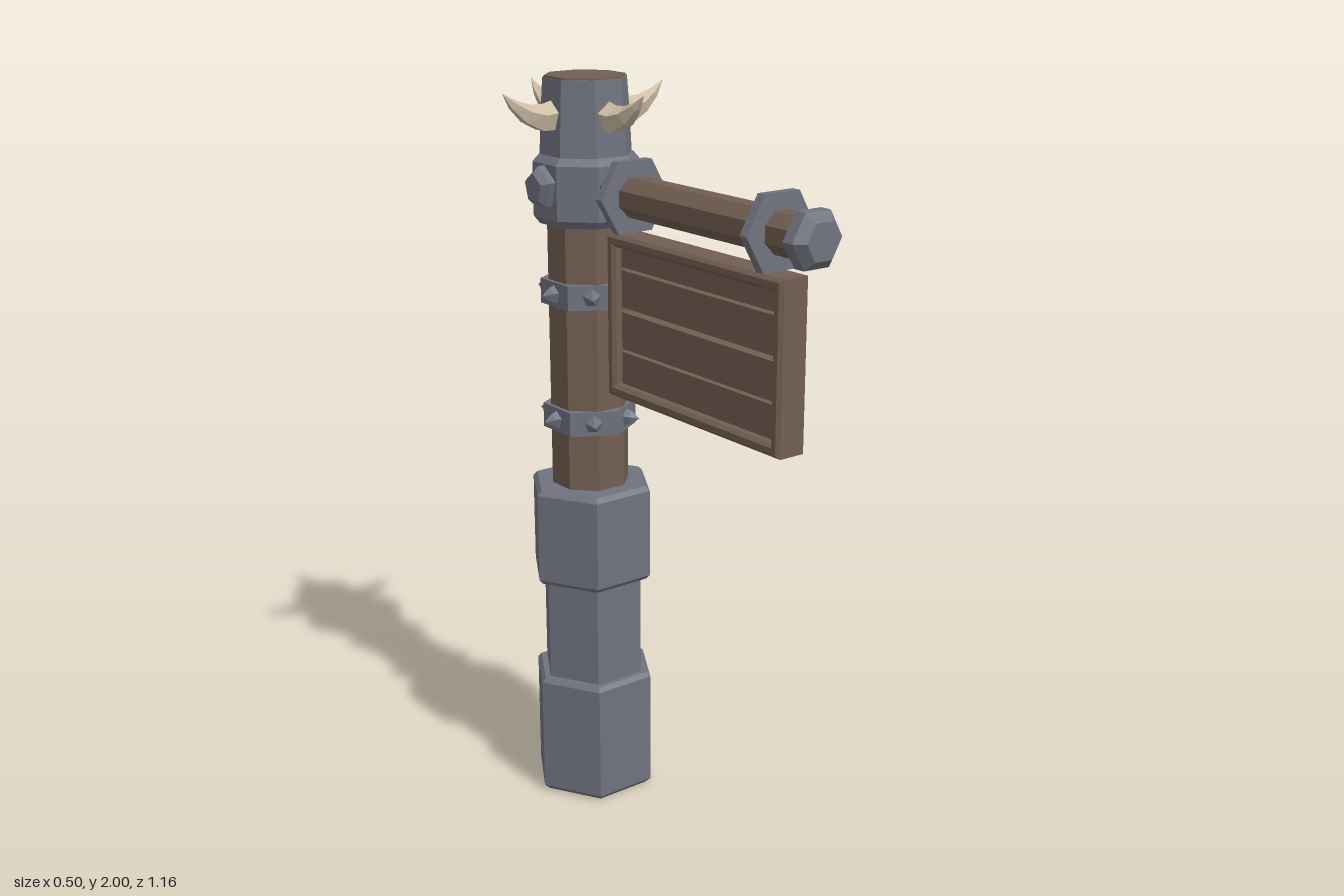
import * as THREE from 'three';

const POST_Z = -0.33;
const OCT = 1 / Math.cos(Math.PI / 8); // flat-to-flat radius -> corner radius

// Faceted solid of revolution from [radius, height] pairs, with hard edges
function prism(profile, sides, phi = 0) {
  const pts = profile.map(([r, y]) => new THREE.Vector2(r, y));
  return faceted(new THREE.LatheGeometry(pts, sides, phi));
}

function faceted(geometry) {
  const g = geometry.toNonIndexed();
  g.computeVertexNormals();
  return g;
}

// Curved five-sided horn pointing along +x, bent from a straight cone
function hornGeometry() {
  const curve = new THREE.CatmullRomCurve3([
    [0.08, 1.905, 0], [0.14, 1.9, 0], [0.2, 1.925, 0], [0.25, 1.97, 0],
  ].map((p) => new THREE.Vector3(...p)));
  const profile = [[0, 0], [0.042, 0], [0.036, 0.3], [0.026, 0.52], [0.014, 0.77], [0, 1]];
  const g = new THREE.LatheGeometry(profile.map(([r, t]) => new THREE.Vector2(r, t)), 5, -Math.PI / 2);
  const pos = g.attributes.position;
  for (let i = 0; i < pos.count; i++) {
    const t = THREE.MathUtils.clamp(pos.getY(i), 0, 1);
    const c = curve.getPointAt(t);
    const d = curve.getTangentAt(t);
    const x = pos.getX(i);
    pos.setXYZ(i, c.x + d.y * x, c.y - d.x * x, pos.getZ(i));
  }
  return faceted(g);
}

export function createModel() {
  const model = new THREE.Group();
  model.name = 'hangingSignpost';
  const mat = (name, color) => {
    const m = new THREE.MeshStandardMaterial({ color });
    m.name = name;
    return m;
  };
  const stone = mat('greyIron', 0x70737f);
  const wood = mat('brownWood', 0x735f52);
  const bone = mat('paleHorn', 0xcdbda4);

  const add = (parent, name, geometry, material) => {
    const mesh = new THREE.Mesh(geometry, material);
    mesh.name = name;
    parent.add(mesh);
    return mesh;
  };

  const post = new THREE.Group();
  post.name = 'post';
  post.position.z = POST_Z;
  model.add(post);

  // Hexagonal stepped pedestal
  add(post, 'pedestal', prism([
    [0, 0], [0.16, 0], [0.176, 0.015], [0.176, 0.34], [0.165, 0.352], [0.147, 0.352],
    [0.147, 0.638], [0.165, 0.638], [0.176, 0.65], [0.176, 0.897], [0.163, 0.91], [0, 0.91],
  ], 6, Math.PI / 6), stone);

  // Octagonal timber
  add(post, 'timber', prism([[0, 0.9], [0.098 * OCT, 0.9], [0.098 * OCT, 1.7], [0, 1.7]], 8, Math.PI / 8), wood);

  // Studded bands
  const studGeo = prism([[0, 0], [0.026, 0], [0.02, 0.018], [0, 0.042]], 5, -Math.PI / 2);
  studGeo.rotateZ(-Math.PI / 2).translate(0.105, 0, 0);
  for (const y of [1.1, 1.443]) {
    const band = new THREE.Group();
    band.name = 'studdedBand';
    band.position.y = y;
    post.add(band);
    add(band, 'bandRing', prism([[0, -0.033], [0.125, -0.033], [0.125, 0.033], [0, 0.033]], 6), stone);
    for (let k = 0; k < 6; k++) add(band, 'bandStud', studGeo, stone).rotation.y = k * Math.PI / 3;
  }

  // Collar holding the beam, with a boss on each side
  add(post, 'collar', prism([
    [0, 1.625], [0.115 * OCT, 1.625], [0.13 * OCT, 1.645], [0.13 * OCT, 1.785], [0.115 * OCT, 1.803], [0, 1.803],
  ], 8, Math.PI / 8), stone);
  const bossGeo = prism([[0, 0], [0.055, 0], [0.055, 0.022], [0.038, 0.04], [0, 0.04]], 5, -Math.PI / 2);
  bossGeo.rotateZ(-Math.PI / 2).translate(0.126, 1.727, 0);
  for (const a of [0, Math.PI]) add(post, 'collarBoss', bossGeo, stone).rotation.y = a;

  // Head, its wooden top and four horns
  add(post, 'headSleeve', prism([
    [0, 1.79], [0.113 * OCT, 1.79], [0.108 * OCT, 1.9], [0.102 * OCT, 1.996], [0, 1.996],
  ], 8, Math.PI / 8), stone);
  add(post, 'headTop', prism([[0, 1.994], [0.099 * OCT, 1.994], [0.099 * OCT, 2], [0, 2]], 8, Math.PI / 8), wood);
  const hornGeo = hornGeometry();
  for (let k = 0; k < 4; k++) add(post, 'horn', hornGeo, bone).rotation.y = k * Math.PI / 2;

  // Beam reaching forward, with rings and an end cap
  const arm = new THREE.Group();
  arm.name = 'arm';
  arm.position.y = 1.718;
  model.add(arm);
  const along = (profile, sides, phi) => prism(profile, sides, phi).rotateX(Math.PI / 2);
  add(arm, 'beam', along([[0, -0.25], [0.05 * OCT, -0.25], [0.05 * OCT, 0.55], [0, 0.55]], 8, Math.PI / 8), wood);
  add(arm, 'beamCap', along([
    [0, 0.525], [0.075, 0.525], [0.075, 0.557], [0.05, 0.58], [0, 0.58],
  ], 6, Math.PI / 6), stone);
  for (const z of [-0.13, 0.425]) {
    add(arm, 'hangerRing', along([
      [0, z - 0.0125], [0.104, z - 0.0125], [0.104, z + 0.0125], [0, z + 0.0125],
    ], 6, Math.PI / 6), stone);
  }

  // Hanging board: bevelled frame around four spaced planks
  const sign = new THREE.Group();
  sign.name = 'signBoard';
  sign.position.set(0, 1.408, 0.152);
  model.add(sign);
  const rect = (path, w, h) => path.moveTo(-w, -h).lineTo(w, -h).lineTo(w, h).lineTo(-w, h).closePath();
  const shape = rect(new THREE.Shape(), 0.33, 0.205);
  shape.holes.push(rect(new THREE.Path(), 0.315, 0.19));
  const frame = new THREE.ExtrudeGeometry(shape, {
    depth: 0.07, bevelEnabled: true, bevelSize: 0.009, bevelThickness: 0.009, bevelSegments: 1,
  });
  add(sign, 'frame', frame.translate(0, 0, -0.035).rotateY(Math.PI / 2), wood);
  for (const [low, high] of [[1.21, 1.312], [1.32, 1.417], [1.43, 1.527], [1.535, 1.61]]) {
    const plank = add(sign, 'plank', new THREE.BoxGeometry(0.035, high - low, 0.634), wood);
    plank.position.y = (low + high) / 2 - sign.position.y;
  }
  return model;
}
